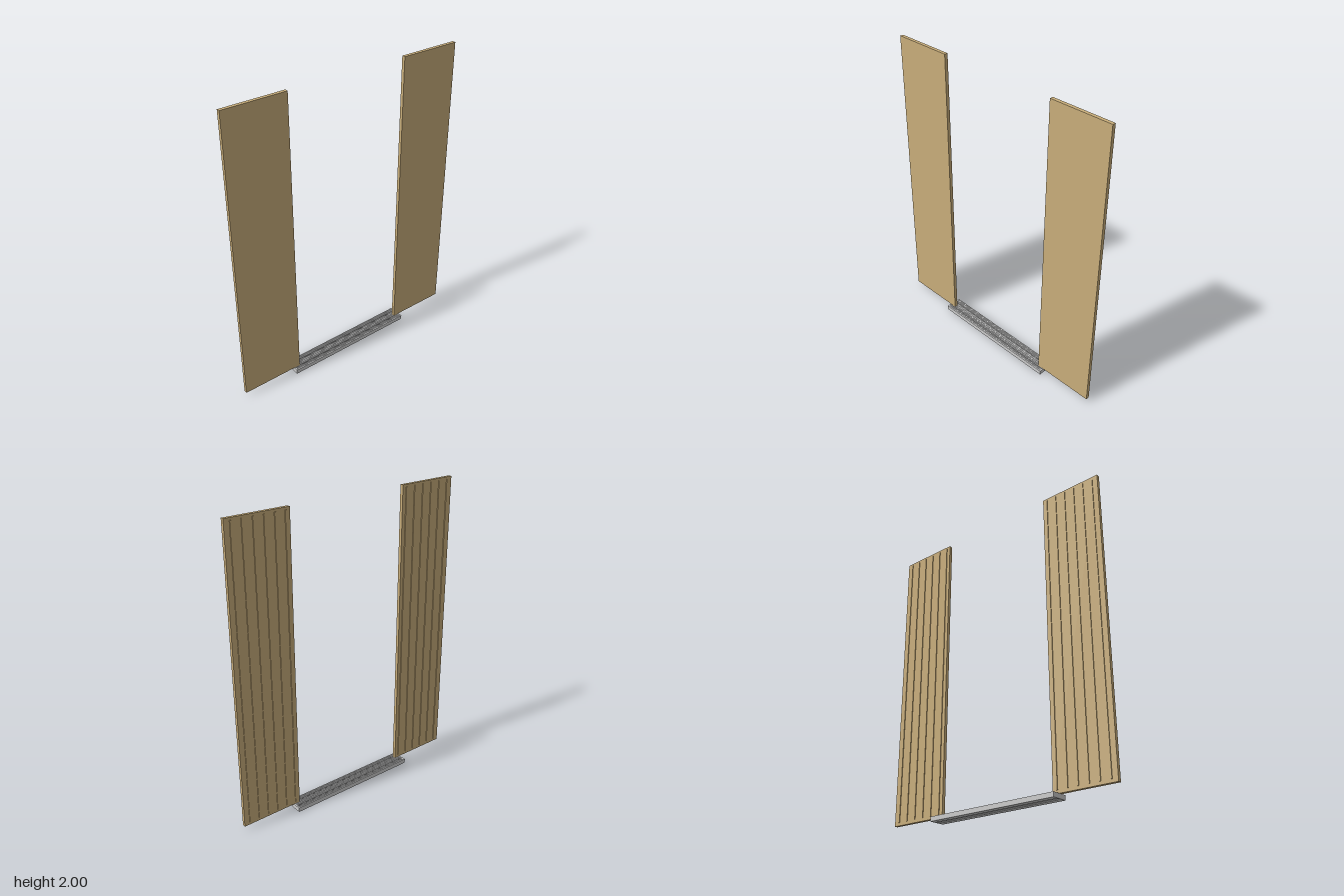
import * as THREE from 'three';

export function createModel() {
  const model = new THREE.Group();
  const wood = new THREE.MeshStandardMaterial({ color: 0xc8ad7a });
  const metal = new THREE.MeshStandardMaterial({ color: 0xcccccc });

  const box = (parent, name, mat, x0, x1, y0, y1, z0, z1) => {
    const mesh = new THREE.Mesh(new THREE.BoxGeometry(x1 - x0, y1 - y0, z1 - z0), mat);
    mesh.position.set((x0 + x1) / 2, (y0 + y1) / 2, (z0 + z1) / 2);
    mesh.name = name;
    parent.add(mesh);
  };

  // Two door panels with vertical ribs on the back
  for (const side of [1, -1]) {
    const door = new THREE.Group();
    door.name = side > 0 ? 'leftDoor' : 'rightDoor';
    box(door, 'panel', wood, -0.21, 0.21, 0.03, 2, 0.001, 0.024);
    for (let i = 0; i < 6; i++) {
      const x = side * (-0.18 + i * 0.07);
      box(door, 'rib', wood, x - 0.004, x + 0.004, 0.05, 1.985, -0.004, 0.001);
    }
    door.position.x = side * 0.63;
    model.add(door);
  }

  // Sill profile (z, y): two guide slots, fine tread grooves, shallow recess below
  const sill = new THREE.Group();
  sill.name = 'sill';
  const top = 0.03;
  const cuts = [];
  for (const z of [-0.045, -0.036, -0.012, 0, 0.012, 0.036, 0.045]) cuts.push([z, 0.002, 0.003]);
  for (const z of [-0.024, 0.024]) cuts.push([z, 0.004, 0.022]);
  cuts.sort((a, b) => a[0] - b[0]);

  const profile = new THREE.Shape();
  profile.moveTo(-0.055, 0);
  profile.lineTo(-0.055, top);
  for (const [z, half, depth] of cuts) {
    profile.lineTo(z - half, top);
    profile.lineTo(z - half, top - depth);
    profile.lineTo(z + half, top - depth);
    profile.lineTo(z + half, top);
  }
  profile.lineTo(0.055, top);
  profile.lineTo(0.055, 0);
  profile.lineTo(0.014, 0);
  profile.lineTo(0.014, 0.004);
  profile.lineTo(-0.014, 0.004);
  profile.lineTo(-0.014, 0);
  profile.closePath();

  const rail = new THREE.Mesh(
    new THREE.ExtrudeGeometry(profile, { depth: 0.91, bevelEnabled: false }), metal);
  rail.name = 'rail';
  rail.rotation.y = -Math.PI / 2;
  rail.position.x = 0.455;
  sill.add(rail);

  // Closed ends of the sill
  box(sill, 'endCap', metal, 0.455, 0.465, 0, top, -0.055, 0.055);
  box(sill, 'endCap', metal, -0.465, -0.455, 0, top, -0.055, 0.055);
  model.add(sill);

  return model;
}
